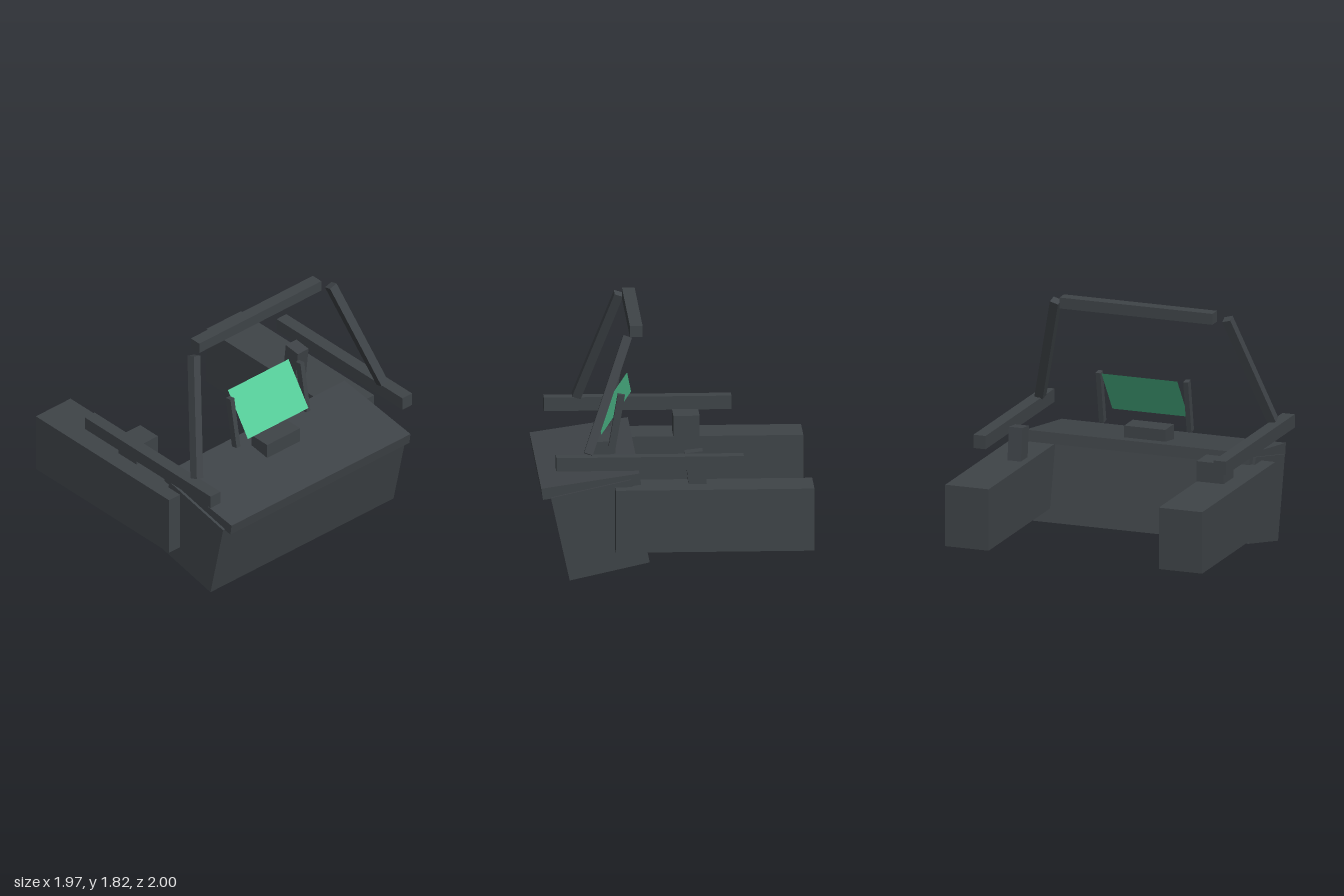
import * as THREE from 'three';

export function createModel() {
  const model = new THREE.Group();
  const grey = new THREE.MeshStandardMaterial({ color: 0x3f4448 });
  grey.name = 'dark grey';
  const green = new THREE.MeshStandardMaterial({ color: 0x55cc99, side: THREE.DoubleSide });
  green.name = 'screen green';

  // Box from size, centre and Euler angles in degrees
  const deg = THREE.MathUtils.degToRad;
  function box(name, size, centre, rx = 0, rz = 0) {
    const mesh = new THREE.Mesh(new THREE.BoxGeometry(...size), grey);
    mesh.name = name;
    mesh.position.set(...centre);
    mesh.rotation.set(deg(rx), 0, deg(rz));
    model.add(mesh);
    return mesh;
  }

  // Tilted desk body and its sloping top
  box('deskBody', [0.594, 0.63, 1.785], [0.557, 0.378, 0], 0, -12.5);
  box('deskTop', [0.72, 0.084, 1.745], [0.622, 0.698, 0], 0, -8.4);
  box('consoleBlock', [0.17, 0.16, 0.32], [0.495, 0.78, 0]);

  // Mirrored parts on both sides
  for (const [side, s] of [['left', 1], ['right', -1]]) {
    box(`${side}SideArm`, [1.44, 0.462, 0.338], [-0.27, 0.465, s * 0.831]);
    box(`${side}Rail`, [1.36, 0.1, 0.095], [0.2, 0.89, s * 0.935]);
    box(`${side}FrameStrut`, [0.066, 0.9, 0.066], [0.497, 1.356, s * 0.786], s * -16.2, 19.2);
    box(`${side}ScreenPost`, [0.052, 0.397, 0.037], [0.412, 1.06, s * 0.341], 0, 9.8);
  }

  // Arm controls: a wide block on one side, a narrow tilted lever on the other
  box('leftArmBlock', [0.19, 0.18, 0.21], [-0.143, 0.758, 0.765]);
  box('rightArmLever', [0.131, 0.26, 0.105], [-0.14, 0.804, -0.768], 0, -6.6);

  // Overhead bar
  box('topBar', [0.092, 0.082, 1.19], [0.282, 1.783, 0]);

  // Thin sloping screen, facing +x and up
  const screen = new THREE.Mesh(new THREE.PlaneGeometry(0.59, 0.386), green);
  screen.name = 'screen';
  screen.position.set(0.413, 1.105, 0);
  screen.rotation.set(0, Math.PI / 2, Math.atan2(0.215, 0.32), 'ZYX');
  model.add(screen);

  return model;
}
